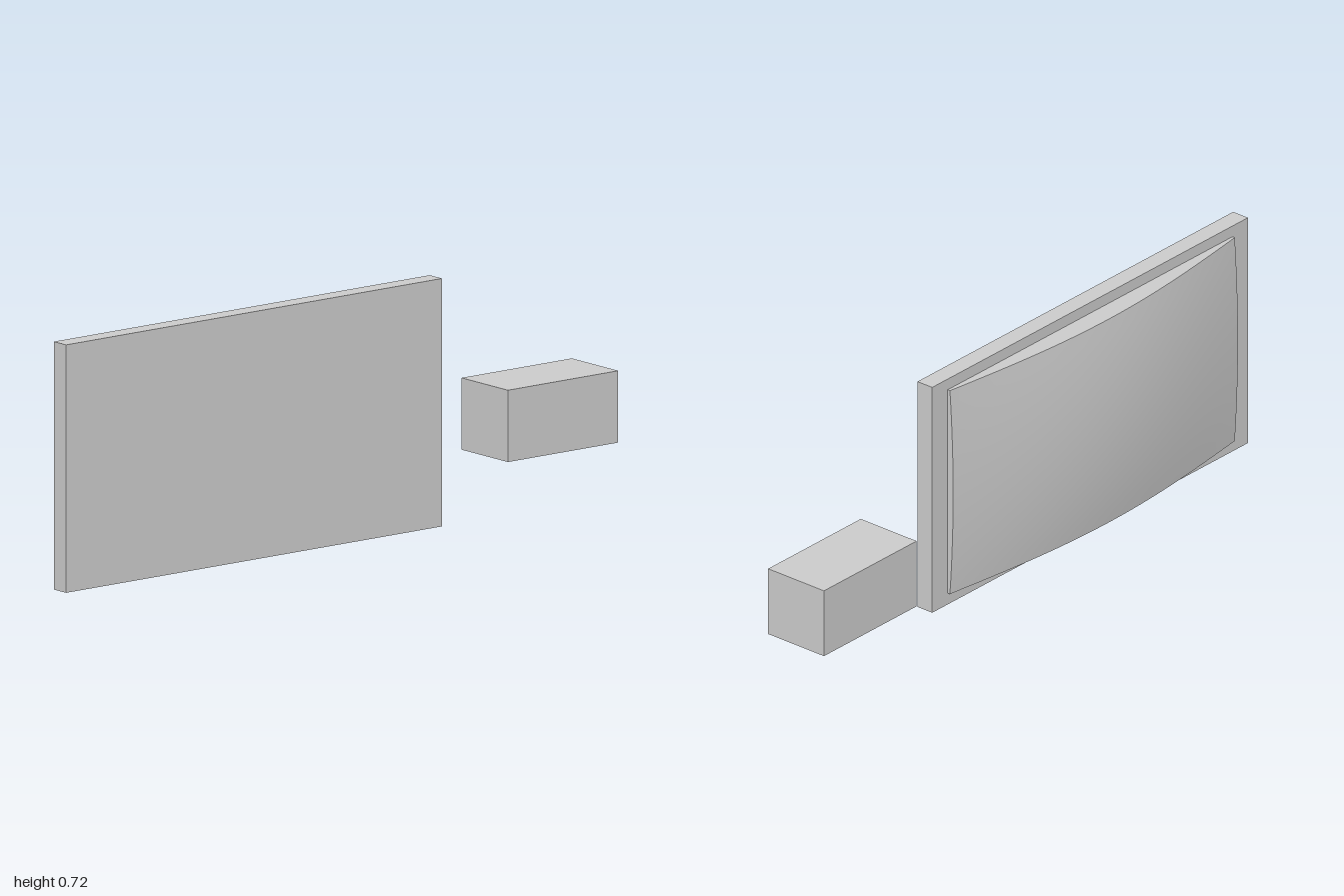
import * as THREE from 'three';

const material = new THREE.MeshStandardMaterial({ color: 0xcccccc });

function addMesh(group, name, geometry, x, y, z) {
  const mesh = new THREE.Mesh(geometry, material);
  mesh.name = name;
  mesh.position.set(x, y, z);
  group.add(mesh);
}

// Solid with a flat front at z = front and a back that bulges in both directions.
function bulgedSlab(width, height, front) {
  const geometry = new THREE.BoxGeometry(width, height, 1, 32, 16, 1);
  const p = geometry.attributes.position;
  for (let i = 0; i < p.count; i++) {
    if (p.getZ(i) > 0) {
      p.setZ(i, front);
      continue;
    }
    const u = (2 * p.getX(i)) / width;
    const v = (2 * p.getY(i)) / height;
    const edge = 0.013 + 0.012 * v * v;
    const ridge = -0.055 + 0.025 * v * v;
    p.setZ(i, THREE.MathUtils.lerp(edge, ridge, Math.cos((u * Math.PI) / 2)));
  }
  geometry.computeVertexNormals();
  return geometry;
}

export function createModel() {
  const model = new THREE.Group();
  model.name = 'panelAndBlock';

  // Flat front panel
  addMesh(model, 'panel', new THREE.BoxGeometry(1.37, 0.718, 0.055), -0.315, 0.359, 0.061);

  // Curved back cover
  addMesh(model, 'backCover', bulgedSlab(1.236, 0.648, 0.0335), -0.315, 0.36, 0);

  // Separate block beside the panel
  addMesh(model, 'block', new THREE.BoxGeometry(0.402, 0.208, 0.208), 0.799, 0.261, 0);

  return model;
}
